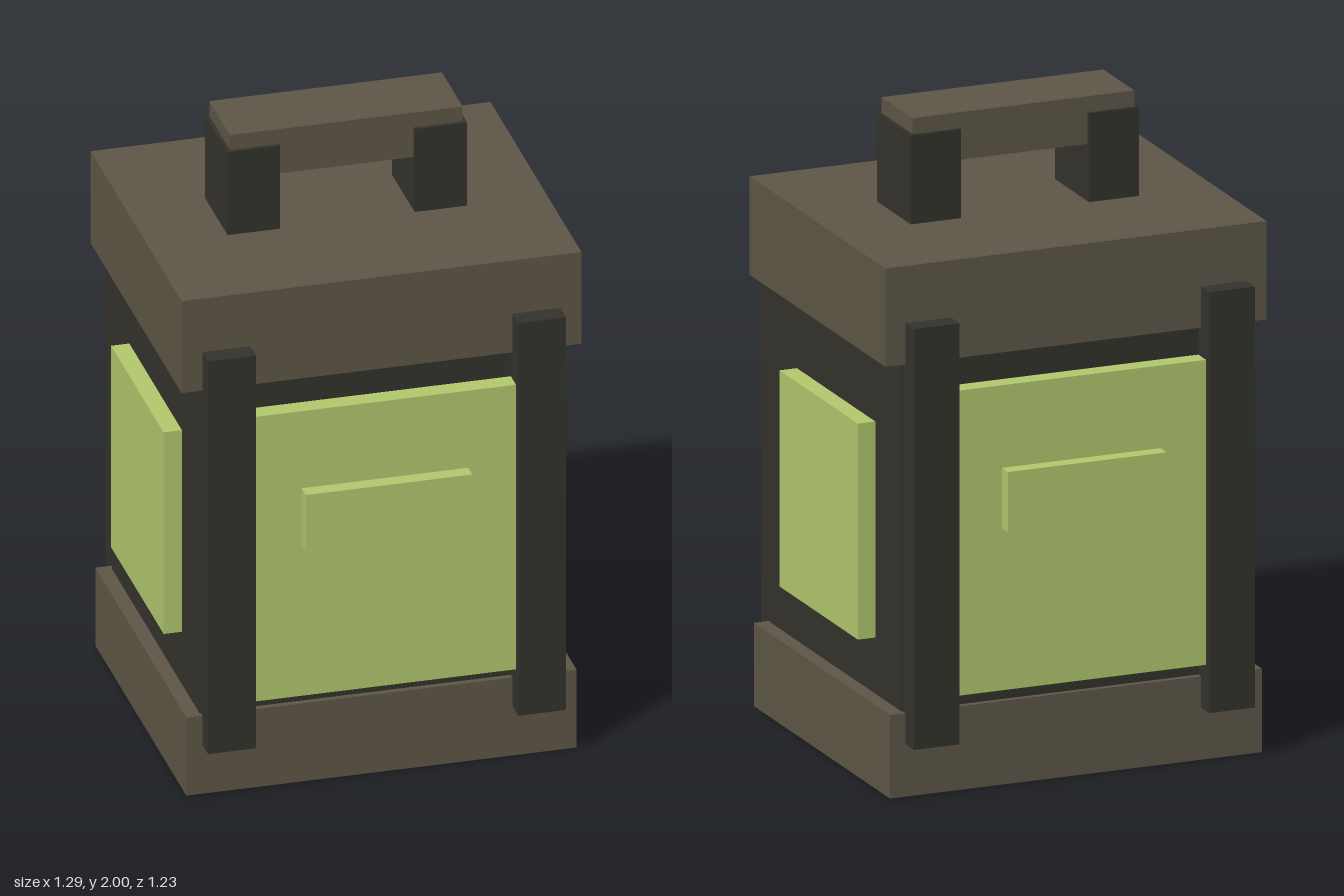
import * as THREE from 'three';

const mat = (name, color) => {
  const m = new THREE.MeshStandardMaterial({ color });
  m.name = name;
  return m;
};

export function createModel() {
  const brown = mat('weathered brown', 0x5f5848);
  const dark = mat('dark metal', 0x34332c);
  const green = mat('glowing green', 0xb4ca6f);

  const lantern = new THREE.Group();
  lantern.name = 'lantern';

  // Box given by its size, bottom and top heights, and centre in x and z
  const box = (name, material, w, d, y0, y1, x = 0, z = 0) => {
    const mesh = new THREE.Mesh(new THREE.BoxGeometry(w, y1 - y0, d), material);
    mesh.name = name;
    mesh.position.set(x, (y0 + y1) / 2, z);
    lantern.add(mesh);
  };

  // Housing
  box('base', brown, 1.218, 1.038, 0, 0.263);
  box('body', dark, 1.126, 1.0, 0.263, 1.36);
  box('lid', brown, 1.248, 1.038, 1.36, 1.67);

  for (const s of [-1, 1]) {
    const end = s > 0 ? 'front' : 'back';
    const side = s > 0 ? 'left' : 'right';

    // Glass panes and the raised bars on the front and back
    box(end + 'Pane', green, 0.82, 0.08, 0.31, 1.27, 0, s * 0.519);
    box(end + 'PaneBar', green, 0.52, 0.06, 0.82, 1.01, 0, s * 0.576);
    box(side + 'Pane', green, 0.08, 0.6, 0.44, 1.12, s * 0.58, 0);

    // Corner posts
    for (const x of [-1, 1]) {
      box(end + (x > 0 ? 'Left' : 'Right') + 'Post', dark, 0.15, 0.134, 0.165, 1.49, x * 0.484, s * 0.517);
    }

    // Handle uprights
    box(side + 'HandleUpright', dark, 0.164, 0.26, 1.67, 1.95, s * 0.292, 0);
  }

  // Handle grip
  box('handleGrip', brown, 0.726, 0.236, 1.85, 2.0);

  // Slight turn of the whole lantern
  lantern.rotation.y = 0.045;

  const model = new THREE.Group();
  model.name = 'lanternModel';
  model.add(lantern);
  return model;
}
